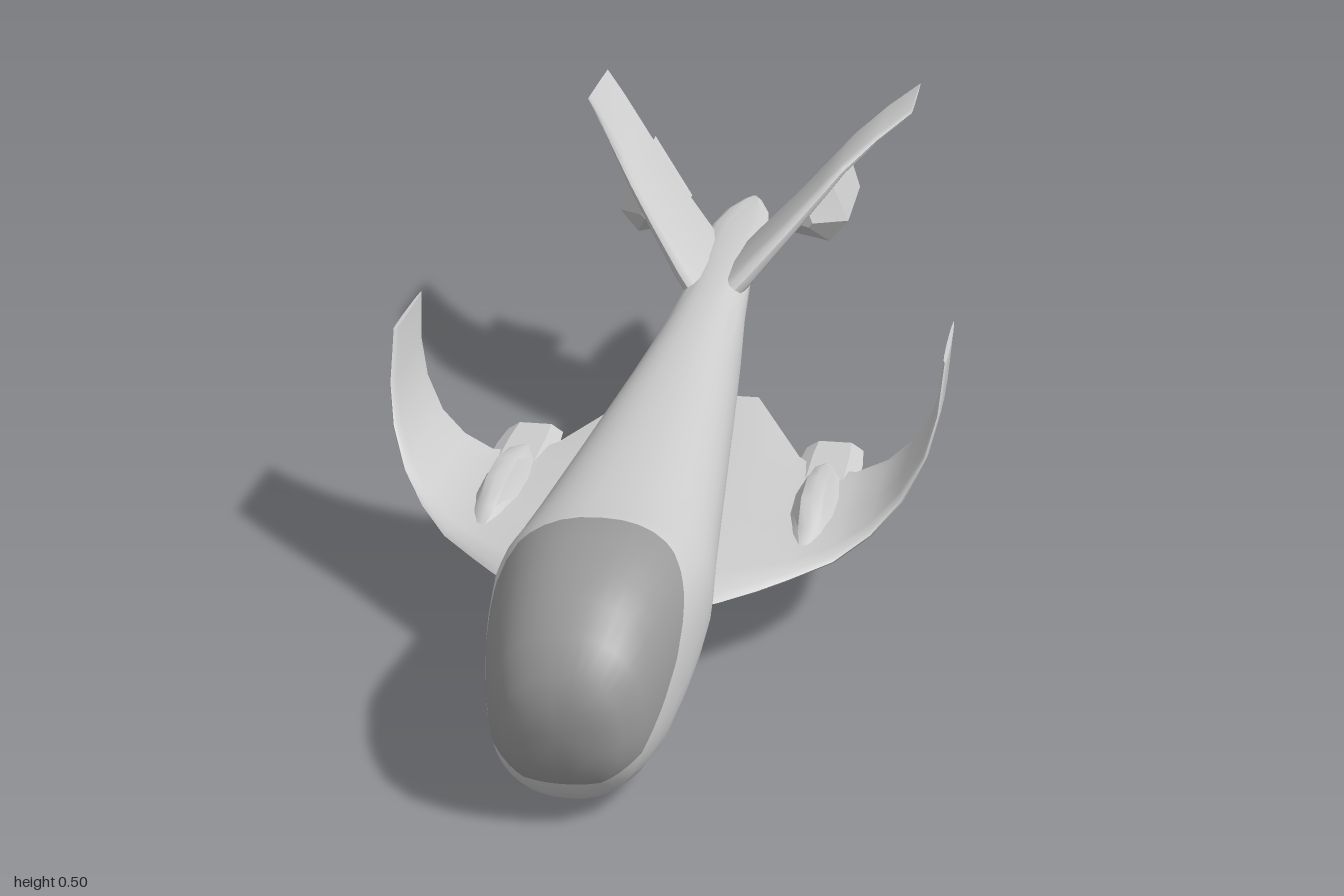
import * as THREE from 'three';
import { mergeVertices, toCreasedNormals } from 'three/addons/utils/BufferGeometryUtils.js';

const grey = new THREE.MeshStandardMaterial({ color: 0xcccccc });
const dark = new THREE.MeshStandardMaterial({ color: 0x999999 });

// Skin a closed solid over rings of [x, y, z] points; winding is fixed by signed volume.
function loft(rings, crease) {
  const tris = [], n = rings[0].length;
  const mid = r => [0, 1, 2].map(k => r.reduce((s, p) => s + p[k], 0) / n);
  const first = rings[0], last = rings[rings.length - 1];
  const m0 = mid(first), m1 = mid(last);
  for (let j = 0; j < n; j++) {
    const k = (j + 1) % n;
    tris.push([m0, first[k], first[j]], [m1, last[j], last[k]]);
    for (let i = 0; i < rings.length - 1; i++) {
      const a = rings[i], b = rings[i + 1];
      tris.push([a[j], a[k], b[j]], [a[k], b[k], b[j]]);
    }
  }
  const v = tris.map(t => t.map(p => new THREE.Vector3(...p)));
  const volume = v.reduce((s, [a, b, c]) => s + a.dot(b.clone().cross(c)), 0);
  if (volume < 0) v.forEach(t => t.reverse());
  const geo = new THREE.BufferGeometry().setFromPoints(v.flat());
  return toCreasedNormals(mergeVertices(geo, 1e-5), crease);
}

// Keep the part of a geometry where f(point) >= 0, cutting triangles on the border.
function clip(geo, f) {
  const P = geo.attributes.position, N = geo.attributes.normal, out = [];
  const read = i => [P.getX(i), P.getY(i), P.getZ(i), N.getX(i), N.getY(i), N.getZ(i)];
  for (let i = 0; i < P.count; i += 3) {
    const tri = [read(i), read(i + 1), read(i + 2)], poly = [];
    tri.forEach((a, k) => {
      const b = tri[(k + 1) % 3], fa = f(a), fb = f(b);
      if (fa >= 0) poly.push(a);
      if ((fa >= 0) !== (fb >= 0)) poly.push(a.map((c, q) => c + (b[q] - c) * fa / (fa - fb)));
    });
    for (let k = 1; k < poly.length - 1; k++) out.push(poly[0], poly[k], poly[k + 1]);
  }
  const g = new THREE.BufferGeometry();
  g.setAttribute('position', new THREE.Float32BufferAttribute(out.flatMap(p => p.slice(0, 3)), 3));
  g.setAttribute('normal', new THREE.Float32BufferAttribute(out.flatMap(p => p.slice(3)), 3));
  return g;
}

// Rounded fuselage section between two heights
function section([z, bottom, top, halfWidth]) {
  const ring = [], e = 2 / 2.3;
  for (let i = 0; i < 40; i++) {
    const a = i / 40 * Math.PI * 2, c = Math.cos(a), s = Math.sin(a);
    ring.push([
      Math.sign(c) * Math.abs(c) ** e * halfWidth,
      (top + bottom) / 2 + Math.sign(s) * Math.abs(s) ** e * (top - bottom) / 2, z]);
  }
  return ring;
}

// Wing rings along a curved span; station = [x, y, leading z, trailing z, thickness]
const FOIL = [[0, 0], [0.03, 0.6], [0.12, 0.9], [0.4, 1], [0.8, 0.7], [1, 0.15],
  [1, -0.15], [0.8, -0.7], [0.4, -1], [0.12, -0.9], [0.03, -0.6]];
function wingRings(stations) {
  return stations.map(([x, y, lead, trail, t], i) => {
    const a = stations[Math.max(i - 1, 0)], b = stations[Math.min(i + 1, stations.length - 1)];
    const dx = b[0] - a[0], dy = b[1] - a[1], l = Math.hypot(dx, dy);
    return FOIL.map(([s, h]) =>
      [x - dy / l * h * t / 2, y + dx / l * h * t / 2, lead + (trail - lead) * s]);
  });
}

const HULL = [
  [1, 0.09, 0.19, 0.05], [0.985, 0.055, 0.225, 0.083], [0.95, 0.022, 0.27, 0.108],
  [0.9, 0.005, 0.302, 0.123], [0.85, 0, 0.322, 0.135], [0.78, 0.015, 0.335, 0.146],
  [0.72, 0.04, 0.334, 0.153], [0.66, 0.064, 0.322, 0.155], [0.6, 0.077, 0.313, 0.15],
  [0.5, 0.087, 0.311, 0.139], [0.3, 0.1, 0.31, 0.12], [0, 0.115, 0.31, 0.092],
  [-0.12, 0.128, 0.31, 0.081], [-0.22, 0.15, 0.31, 0.072], [-0.35, 0.2, 0.31, 0.06],
  [-0.5, 0.262, 0.311, 0.052], [-0.7, 0.272, 0.308, 0.053], [-0.8, 0.278, 0.302, 0.04],
  [-0.87, 0.284, 0.296, 0.018], [-0.9, 0.288, 0.291, 0.004]];

const WING = [
  [0.03, 0.145, 0.63, -0.24, 0.034], [0.1, 0.145, 0.6, -0.24, 0.034],
  [0.15, 0.144, 0.56, -0.12, 0.03], [0.2, 0.143, 0.51, 0, 0.026],
  [0.24, 0.143, 0.465, 0.05, 0.022], [0.3, 0.147, 0.4, 0.055, 0.018],
  [0.35, 0.166, 0.335, 0.04, 0.015], [0.39, 0.2, 0.28, 0.025, 0.013],
  [0.42, 0.25, 0.225, 0, 0.011], [0.435, 0.305, 0.18, -0.025, 0.009],
  [0.44, 0.375, 0.13, -0.055, 0.007]];

const FIN = [
  [0.02, 0.278, -0.33, -0.64, 0.042], [0.06, 0.317, -0.37, -0.67, 0.038],
  [0.12, 0.374, -0.45, -0.72, 0.028], [0.17, 0.423, -0.52, -0.775, 0.022],
  [0.2, 0.451, -0.57, -0.81, 0.018], [0.25, 0.479, -0.68, -0.9, 0.011],
  [0.3, 0.496, -0.8, -1, 0.006]];

// Wing pod: [z, width scale, bottom y]
const POD = [[0.4, 0.3, 0.137], [0.28, 1, 0.097], [0, 1, 0.095], [-0.06, 0.9, 0.098]].map(([z, w, b]) =>
  [[-0.03, 0.15], [-0.052, 0.137], [-0.034, b], [0.034, b], [0.052, 0.137], [0.03, 0.15]]
    .map(([x, y]) => [0.252 + x * w, y, z]));

// Fairing on top of the wing: [z, width scale, height]
const FAIRING = [[0.38, 0.2, 0.003], [0.32, 0.75, 0.022], [0.25, 1, 0.042], [0.17, 1, 0.042],
  [0.09, 0.75, 0.026], [0.03, 0.25, 0.004]].map(([z, w, h]) =>
  [[-0.042, 0], [-0.03, 0.3], [-0.017, 0.9], [0, 1], [0.017, 0.9], [0.03, 0.3], [0.042, 0]]
    .map(([x, y]) => [0.25 + x * w, 0.145 + y * h, z]));

// Tail pod under each fin, with a wedge front and a raked rear: [x, y, front z, shoulder z, rear z]
const TAIL = [[0.1, 0.327, -0.53, -0.6, -0.775], [0.175, 0.305, -0.53, -0.62, -0.82],
  [0.208, 0.345, -0.53, -0.62, -0.82], [0.18, 0.418, -0.53, -0.6, -0.84]];
const TAIL_POD = [0, 1, 2].map(i => TAIL.map(([x, y, ...z]) => {
  const k = i ? 1 : 0.2;
  return [0.14 + (x - 0.14) * k, 0.372 + (y - 0.372) * k, z[i]];
}));

export function createModel() {
  const model = new THREE.Group();
  model.name = 'aircraft';
  const add = (name, geo, mat = grey) => {
    const mesh = new THREE.Mesh(geo, mat);
    mesh.name = name;
    model.add(mesh);
  };

  // Fuselage and canopy share one skin, cut along a sloping plane
  const hull = loft(HULL.map(section), 1.2);
  const canopySide = p => p[1] - 0.07 - (0.985 - p[2]) * 0.87;
  add('fuselage', clip(hull, p => -canopySide(p)));
  add('canopy', clip(hull, canopySide), dark);

  // Paired parts
  for (const [side, sx] of [['left', 1], ['right', -1]]) {
    const pair = (name, rings, crease) =>
      add(side + name, loft(rings.map(r => r.map(([x, y, z]) => [x * sx, y, z])), crease));
    pair('Wing', wingRings(WING), 0.9);
    pair('TailFin', wingRings(FIN), 0.9);
    pair('WingPod', POD, 0.3);
    pair('WingFairing', FAIRING, 0.8);
    pair('TailPod', TAIL_POD, 0.3);
  }
  return model;
}
